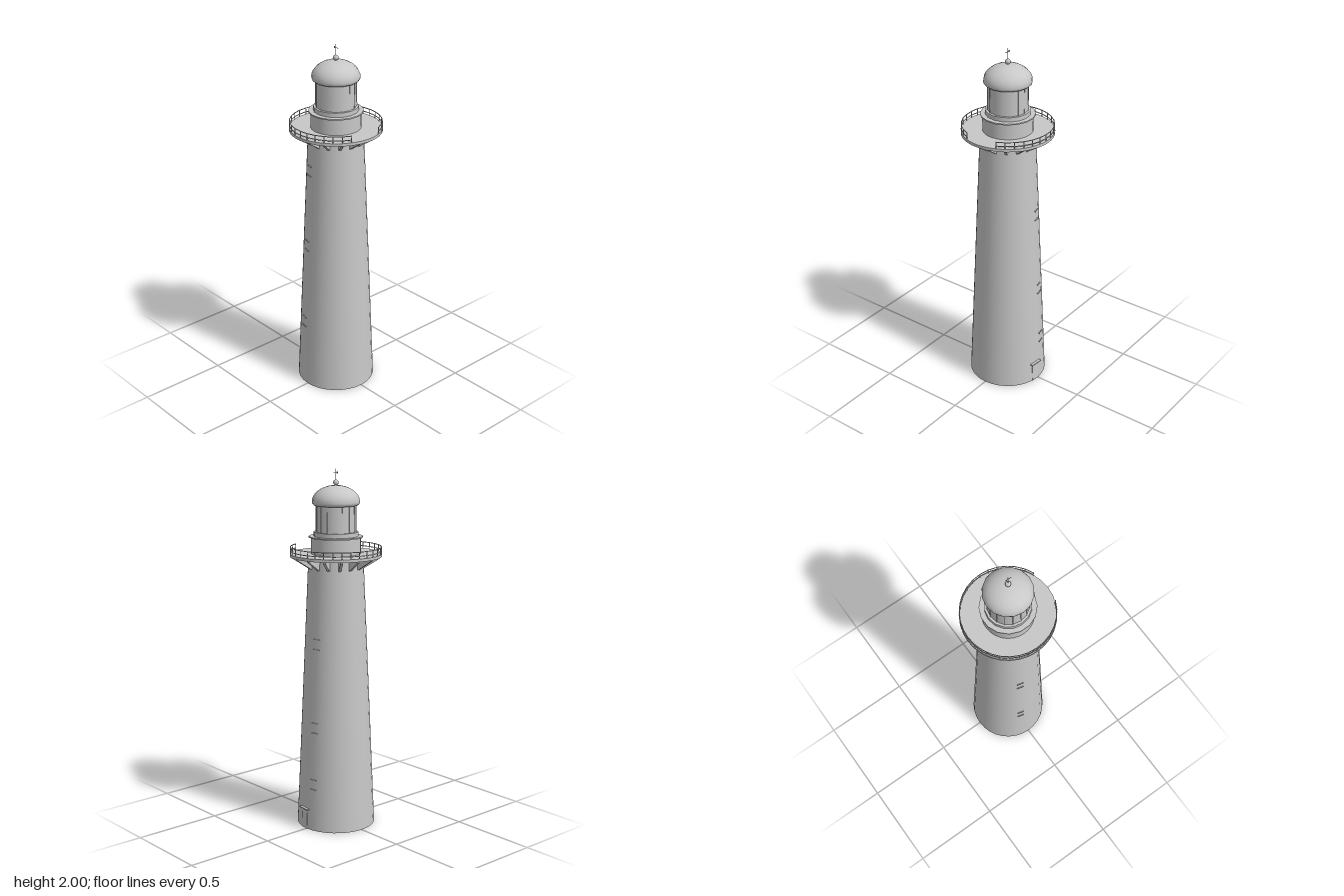
import * as THREE from 'three';

export function createModel() {
  const model = new THREE.Group();
  model.name = 'lighthouse';
  const grey = new THREE.MeshStandardMaterial({ color: 0xc8c8c8, side: THREE.DoubleSide });
  grey.name = 'light grey';

  const add = (name, geometry, x = 0, y = 0, z = 0, parent = model) => {
    const mesh = new THREE.Mesh(geometry, grey);
    mesh.name = name;
    mesh.position.set(x, y, z);
    parent.add(mesh);
    return mesh;
  };
  // Vertical cylinder from y0 to y1
  const drum = (name, rBottom, rTop, y0, y1, sides, open = false, start = 0) =>
    add(name, new THREE.CylinderGeometry(rTop, rBottom, y1 - y0, sides, 1, open, start), 0, (y0 + y1) / 2);
  // Group turned so that its local +x points outward
  const spoke = (name, angle) => {
    const g = new THREE.Group();
    g.name = name;
    g.rotation.y = angle;
    model.add(g);
    return g;
  };
  const towerRadius = (y) => 0.22 - (0.069 * y) / 1.53;

  // Tower, open at the bottom, and gallery deck
  drum('tower', towerRadius(0), towerRadius(1.53), 0, 1.53, 32, true);
  drum('galleryDeck', 0.253, 0.253, 1.527, 1.543, 32);

  // Brackets under the deck
  const profile = new THREE.Shape([
    [0.14, 1.465], [0.156, 1.465], [0.242, 1.52], [0.242, 1.528], [0.14, 1.528],
  ].map(([x, y]) => new THREE.Vector2(x, y)));
  const bracket = new THREE.ExtrudeGeometry(profile, { depth: 0.014, bevelEnabled: false });
  bracket.translate(0, 0, -0.007);
  for (let i = 0; i < 16; i++) {
    add('deckBracket', bracket, 0, 0, 0, spoke('bracketSpoke', ((i + 0.5) * Math.PI) / 8));
  }

  // Railing with a gap at the front
  const gap = Math.PI / 8;
  const arc = Math.PI * 2 - gap * 2;
  for (const y of [1.557, 1.579]) {
    const rail = new THREE.TorusGeometry(0.249, 0.0025, 6, 28, arc);
    rail.rotateZ(Math.PI / 2 + gap);
    rail.rotateX(Math.PI / 2);
    add('galleryRail', rail, 0, y, 0);
  }
  const post = new THREE.CylinderGeometry(0.0025, 0.0025, 0.04, 6);
  for (let i = 0; i <= 28; i++) {
    const a = gap + (arc * i) / 28;
    add('railPost', post, Math.sin(a) * 0.249, 1.561, Math.cos(a) * 0.249);
  }

  // Lantern base, flange and lantern room
  drum('lanternBase', 0.137, 0.137, 1.54, 1.632, 32);
  drum('lanternFlange', 0.149, 0.149, 1.631, 1.638, 16, false, Math.PI / 16);
  drum('lanternSill', 0.122, 0.122, 1.636, 1.662, 16);
  drum('lanternRoom', 0.109, 0.109, 1.66, 1.815, 16);
  const mullion = new THREE.BoxGeometry(0.005, 0.15, 0.004);
  for (let i = 0; i < 16; i++) {
    add('lanternMullion', mullion, 0.1085, 1.736, 0, spoke('mullionSpoke', (i * Math.PI) / 8));
  }

  // Dome with a tucked-in lower edge
  const dome = [[0.105, 1.803], [0.12, 1.805], [0.128, 1.812]];
  for (let i = 0; i <= 8; i++) {
    const a = (i / 8) * Math.PI / 2;
    dome.push([Math.max(0.0001, 0.131 * Math.cos(a)), 1.823 + 0.09 * Math.sin(a)]);
  }
  add('dome', new THREE.LatheGeometry(dome.map(([r, y]) => new THREE.Vector2(r, y)), 16));

  // Ball finial, rod and weather vane
  add('finialBall', new THREE.SphereGeometry(0.015, 16, 10), 0, 1.927, 0);
  drum('vaneRod', 0.0015, 0.0015, 1.935, 2, 6);
  add('vaneArm', new THREE.BoxGeometry(0.002, 0.003, 0.034), 0, 1.981, 0.002);
  add('vaneTail', new THREE.BoxGeometry(0.002, 0.01, 0.008), 0, 1.981, -0.011);

  // Window lintels and sills on both flanks
  const ledge = new THREE.BoxGeometry(0.012, 0.004, 0.038);
  const windows = [
    [0.2, 1.06], [0.2, 0.59], [0.2, 0.265],
    [Math.PI - 0.24, 1.315], [Math.PI - 0.24, 0.87], [Math.PI - 0.24, 0.39],
  ];
  for (const [angle, y] of windows) {
    const g = spoke('window', angle);
    add('windowLintel', ledge, towerRadius(y + 0.028) - 0.002, y + 0.028, 0, g);
    add('windowSill', ledge, towerRadius(y - 0.028) - 0.002, y - 0.028, 0, g);
  }

  // Door canopy
  const entrance = spoke('entrance', -0.095);
  add('doorCanopy', new THREE.BoxGeometry(0.03, 0.005, 0.074), 0.214, 0.116, 0, entrance);
  const door = add('door', new THREE.BoxGeometry(0.004, 0.114, 0.05), 0.2165, 0.057, 0, entrance);
  door.rotation.z = 0.045;
  return model;
}
